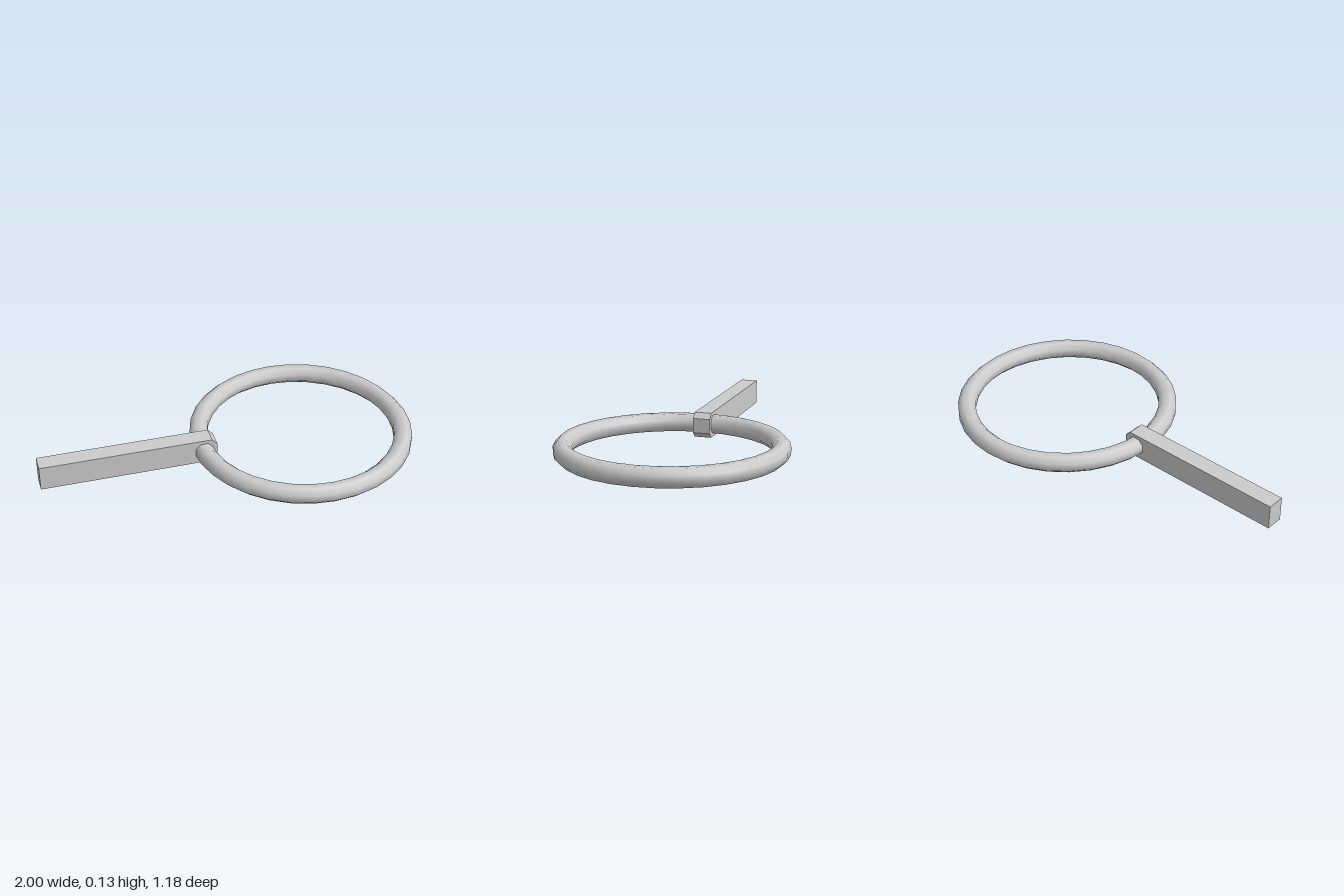
import * as THREE from 'three';
import { mergeVertices } from 'three/addons/utils/BufferGeometryUtils.js';

const MID_Y = 0.067;

// Ring with an octagonal cross-section, flat sides facing up, down, in and out
function ringGeometry(radius, tube, sides, segments) {
  const profile = [];
  for (let i = 0; i <= sides; i++) {
    const a = ((i + 0.5) / sides) * Math.PI * 2;
    profile.push(new THREE.Vector2(radius + tube * Math.cos(a), tube * Math.sin(a)));
  }
  const lathe = new THREE.LatheGeometry(profile, segments);
  // Weld the seams so the shading stays smooth all round
  lathe.deleteAttribute('uv');
  lathe.deleteAttribute('normal');
  const geometry = mergeVertices(lathe);
  geometry.computeVertexNormals();
  return geometry;
}

// Bar with bevelled corners at the end that holds the ring
function barGeometry(x0, x1, height, depth, bevel) {
  const h = height / 2;
  const side = new THREE.Shape([
    new THREE.Vector2(x0, -h),
    new THREE.Vector2(x1 - bevel, -h),
    new THREE.Vector2(x1, -h + bevel),
    new THREE.Vector2(x1, h - bevel),
    new THREE.Vector2(x1 - bevel, h),
    new THREE.Vector2(x0, h),
  ]);
  return new THREE.ExtrudeGeometry(side, { depth, bevelEnabled: false }).translate(0, 0, -depth / 2);
}

export function createModel() {
  const model = new THREE.Group();
  const material = new THREE.MeshStandardMaterial({ color: 0xcccccc });

  const ring = new THREE.Mesh(ringGeometry(0.545, 0.051, 8, 32), material);
  ring.name = 'ring';
  ring.position.set(0.407, MID_Y + 0.001, 0);

  const bar = new THREE.Mesh(barGeometry(-1, -0.065, MID_Y * 2, 0.093, 0.028), material);
  bar.name = 'handleBar';
  bar.position.y = MID_Y;

  model.add(ring, bar);
  return model;
}
